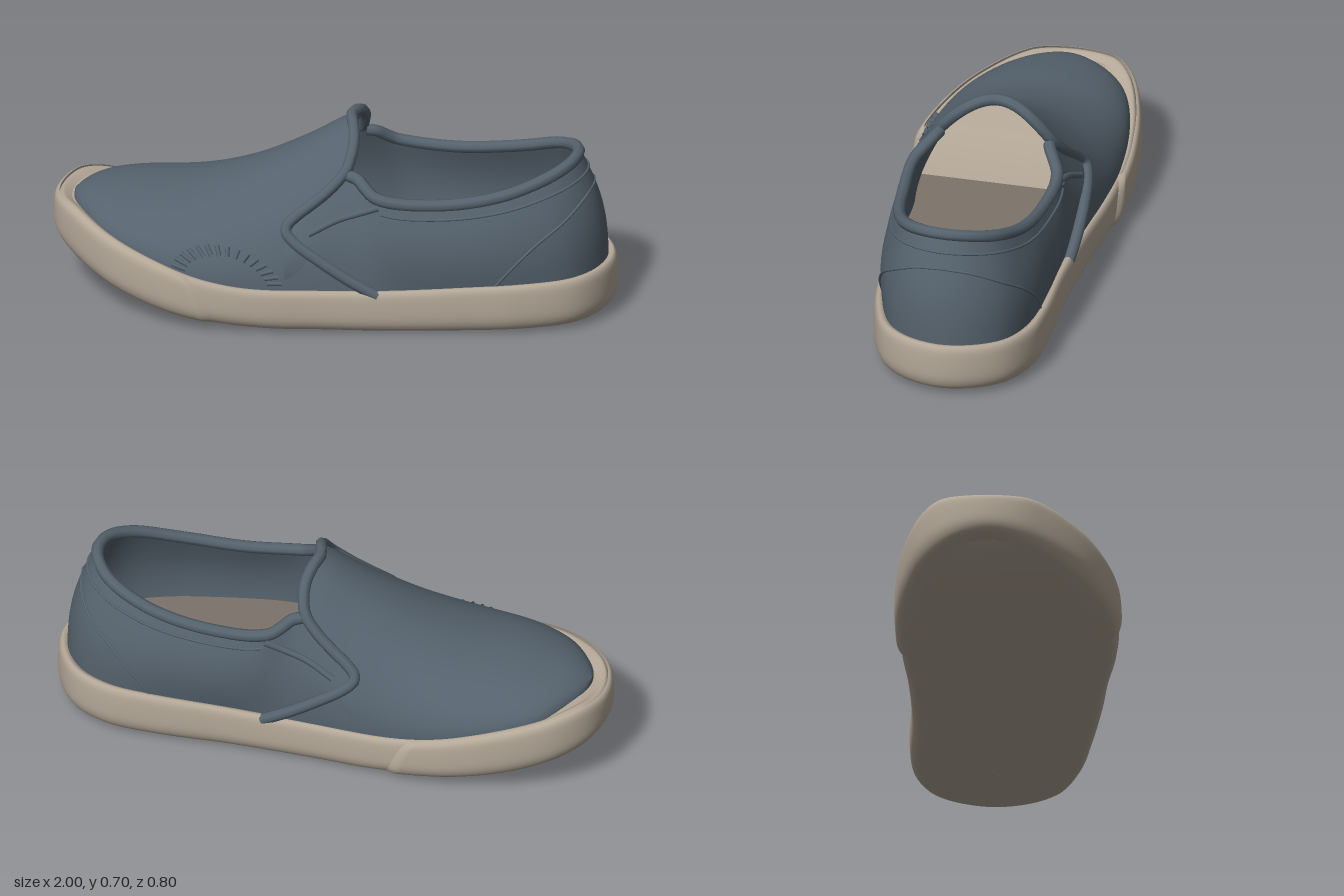
import * as THREE from 'three';

const mat = (name, color) => {
  const m = new THREE.MeshStandardMaterial({ color, side: THREE.DoubleSide });
  m.name = name;
  return m;
};
const V = (x, y, z) => new THREE.Vector3(x, y, z);
const lerp = THREE.MathUtils.lerp;

// Smooth interpolation through [key, value] pairs
function smooth(table, x) {
  const n = table.length - 1;
  x = THREE.MathUtils.clamp(x, table[0][0], table[n][0]);
  let i = 0;
  while (i < n - 1 && x > table[i + 1][0]) i++;
  const slope = k => {
    const a = table[Math.max(k - 1, 0)], b = table[Math.min(k + 1, n)];
    return (b[1] - a[1]) / (b[0] - a[0]);
  };
  const [xa, ya] = table[i], [xb, yb] = table[i + 1];
  const h = xb - xa, t = (x - xa) / h, t2 = t * t, t3 = t2 * t;
  return (2 * t3 - 3 * t2 + 1) * ya + (t3 - 2 * t2 + t) * h * slope(i)
    + (3 * t2 - 2 * t3) * yb + (t3 - t2) * h * slope(i + 1);
}

// Grid surface from a rule (u, v in 0..1) giving a point; wrap closes it along u
function surface(fn, nu, nv, wrap = false) {
  const pos = [], idx = [], cols = wrap ? nu : nu + 1;
  for (let j = 0; j <= nv; j++)
    for (let i = 0; i < cols; i++) pos.push(...fn(i / nu, j / nv).toArray());
  for (let j = 0; j < nv; j++)
    for (let i = 0; i < nu; i++) {
      const a = j * cols + i, b = j * cols + (i + 1) % cols;
      idx.push(a, b, a + cols, b, b + cols, a + cols);
    }
  const g = new THREE.BufferGeometry();
  g.setAttribute('position', new THREE.Float32BufferAttribute(pos, 3));
  g.setIndex(idx);
  g.computeVertexNormals();
  return g;
}

// Heights of the sole along the length
const SOLE_TOP = [[-1, .32], [-.93, .328], [-.8, .293], [-.6, .24], [-.4, .19], [-.2, .165], [.2, .165], [.6, .185], [1, .2]];
const SOLE_BOTTOM = [[-1, .185], [-.95, .155], [-.85, .12], [-.7, .08], [-.5, .042], [-.3, .018], [-.1, .005], [.4, .004], [1, .015]];

// Sole outline (x, z): front-side ball, round the toe, back side, round the heel
const OUTLINE = [[-.38, .385], [-.55, .36], [-.75, .268], [-.9, .13], [-.97, .02], [-.986, -.1], [-.95, -.215], [-.86, -.3], [-.7, -.36], [-.52, -.387], [-.38, -.388],
  [-.2, -.378], [0, -.36], [.3, -.35], [.6, -.36], [.77, -.345], [.9, -.28], [.975, -.17], [1, -.05], [.965, .08], [.88, .18], [.7, .25], [.5, .285], [.2, .325], [0, .345], [-.2, .375]];
const outline = new THREE.CatmullRomCurve3(OUTLINE.map(([x, z]) => V(x, 0, z)), true);
const CAP_END = 10.7 / OUTLINE.length;

// Sole side profile: inset from outline, fraction of height
const INSET = [[0, .06], [.15, .025], [.3, .007], [.45, 0], [.7, .002], [.85, .01], [.95, .025], [1, .05]];
const RISE = [[0, 0], [.15, .06], [.3, .2], [.45, .4], [.7, .82], [.85, .97], [.95, 1], [1, .9]];
function solePoint(t, v, grow = 0) {
  const p = outline.getPoint(t), d = outline.getTangent(t);
  const k = smooth(INSET, v) - grow;
  const y = lerp(smooth(SOLE_BOTTOM, p.x), smooth(SOLE_TOP, p.x), smooth(RISE, v));
  return V(p.x - d.z * k, y, p.z + d.x * k);
}

// Vamp cross-section at x: an arch, angle 0 at the +z side to PI at the -z side
const TOE = -.925;
const TOP = [[-.925, .33], [-.89, .352], [-.84, .37], [-.7, .393], [-.5, .418], [-.3, .483], [-.1, .585], [.05, .675], [.12, .695], [.2, .7]];
const HIGH_Z = [[0, -.05], [.2, .07], [.374, .2], [.57, .31], [.725, .352], [.85, .345], [.96, .32], [1.06, .3]];
const LOW_Z = [[0, -.05], [.2, -.175], [.374, -.29], [.57, -.355], [.725, -.37], [.85, -.355], [.96, -.338], [1.06, -.328]];
const base = x => smooth(SOLE_TOP, x) - .02;
function arch(x, a, lift = 0) {
  const q = Math.sqrt(Math.max(x - TOE, 0));
  const hi = smooth(HIGH_Z, q), lo = smooth(LOW_Z, q), s = Math.sin(a), c = Math.cos(a);
  const pinch = 1 - .13 * s * s * THREE.MathUtils.clamp((x + .5) * 2, 0, 1);
  return V(x, base(x) + (smooth(TOP, x) - base(x)) * s + lift * s,
    (hi + lo) / 2 + (hi - lo) / 2 * c * pinch - .035 * s * (x - TOE) + lift * c);
}
// Rear edge of the vamp by angle in degrees: tongue, notch and side tail
const EDGE = [[0, .2], [6, .1], [12, .02], [22, -.08], [31, -.13], [36, -.1], [42, 0], [48, .06], [55, .08], [65, .085], [76, .075], [90, .06], [104, .075]];
const edgeX = a => {
  const deg = a * 180 / Math.PI;
  return smooth(EDGE, Math.min(deg, 180 - deg));
};

// Quarter wall: base line and collar line running round the heel
const BASE = [[-.13, .325], [.1, .295], [.3, .28], [.5, .256], [.7, .218], [.86, .15], [.94, .05], [.967, -.05],
  [.94, -.17], [.86, -.262], [.7, -.32], [.5, -.325], [.3, -.317], [.1, -.317], [-.13, -.33]];
const RIM = [[-.13, .36, .265], [.08, .54, .172], [.19, .485, .235], [.4, .47, .225], [.62, .5, .185], [.78, .55, .11], [.85, .575, .03], [.87, .582, -.05],
  [.85, .575, -.13], [.78, .55, -.21], [.62, .5, -.27], [.4, .47, -.295], [.19, .485, -.295], [.08, .54, -.24], [-.13, .36, -.305]];
const baseCurve = new THREE.CatmullRomCurve3(BASE.map(([x, z]) => V(x, base(x), z)));
const rimCurve = new THREE.CatmullRomCurve3(RIM.map(p => V(...p)));
function wall(t, v, out = 0) {
  const p = baseCurve.getPoint(t).lerp(rimCurve.getPoint(t), v);
  const d = baseCurve.getTangent(t);
  const k = .028 * Math.sin(Math.PI * v) + out;
  return V(p.x - d.z * k, p.y, p.z + d.x * k);
}

export function createModel() {
  const slate = mat('slate canvas', 0x55626d);
  const rubber = mat('beige rubber', 0xb3a797);
  const tan = mat('brown insole', 0x7c736a);
  const shoe = new THREE.Group();
  shoe.name = 'slipOnShoe';
  const add = (name, geometry, material) => {
    const m = new THREE.Mesh(geometry, material);
    m.name = name;
    shoe.add(m);
  };
  const cord = (name, points, radius, segments = 60) =>
    add(name, new THREE.TubeGeometry(new THREE.CatmullRomCurve3(points), segments, radius, 8), slate);

  // Sole side wall, underside and deck, the flat ones reaching in to the midline
  add('soleWall', surface((u, v) => solePoint(u, v), 160, 24, true), rubber);
  for (const [name, v0] of [['soleUnderside', 0], ['soleDeck', 1]])
    add(name, surface((u, v) => {
      const p = solePoint(u, v0);
      p.z = lerp(p.z, -.05, v);
      return p;
    }, 160, 2, true), rubber);

  // Raised toe bumper with slanted ends
  add('toeBumper', surface((u, v) => {
    const slant = .022 * v * v;
    const grow = .014 * Math.min(1, u * 60, (1 - u) * 60);
    return solePoint(lerp(slant, CAP_END - slant, u), .03 + v * .9, grow);
  }, 120, 20), rubber);

  // Vamp from the toe back to the tongue
  add('vamp', surface((u, v) => {
    const a = u * Math.PI;
    return arch(lerp(TOE, edgeX(a), v * v), a);
  }, 96, 48), slate);
  const edge = [];
  for (let i = 0; i <= 60; i++) {
    const a = i / 60 * Math.PI;
    edge.push(arch(edgeX(a), a, .003));
  }
  cord('vampPiping', edge, .021, 160);

  // Quarters round the heel, with lining and padded collar
  add('quarters', surface((u, v) => wall(u, v), 120, 16), slate);
  add('lining', surface((u, v) => wall(u, v, -.03 * (1 - v * .3)), 120, 16), slate);
  const along = (a, b, v, out) => Array.from({ length: 41 }, (_, i) => wall(lerp(a, b, i / 40), v, out));
  cord('collar', along(1 / 14, 13 / 14, 1, -.008), .022, 140);
  cord('collarSeam', along(2 / 14, 12 / 14, .86, .001), .005, 140);

  // Insole, sloping gently down to the heel
  const floor = new THREE.Shape(Array.from({ length: 61 }, (_, i) => {
    const p = wall(i / 60, .1, -.018);
    return new THREE.Vector2(p.x, -p.z);
  }));
  add('insole', new THREE.ShapeGeometry(floor).rotateX(-Math.PI / 2).rotateZ(-.025).translate(0, .23, 0), tan);

  // Gore piping and heel counter seam, same on both sides
  for (const side of [0, 1]) {
    const at = ([k, v]) => wall(side ? 1 - k / 14 : k / 14, v, .002);
    cord('gorePiping', [[.35, .72], [.8, .68], [1.4, .76], [2, .93]].map(at), .012, 30);
    cord('heelCounterSeam', [[3.5, .02], [3.9, .25], [4.4, .45], [5.1, .6], [6, .7], [7, .73]].map(at), .005, 50);
  }

  // Fan of stitches on the +z side of the vamp
  for (let i = 0; i < 15; i++) {
    const f = lerp(.07, .93, i / 14) * Math.PI;
    const points = [.74, .87, 1].map(r => {
      const x = -.33 - Math.cos(f) * .2 * r;
      const b = base(x), y = .185 - .12 * (x + .33) + Math.sin(f) * .115 * r;
      const s = THREE.MathUtils.clamp((y - b) / (smooth(TOP, x) - b), 0, 1);
      return arch(x, Math.asin(s), .005);
    });
    cord('stitch', points, .008, 6);
  }
  return shoe;
}
